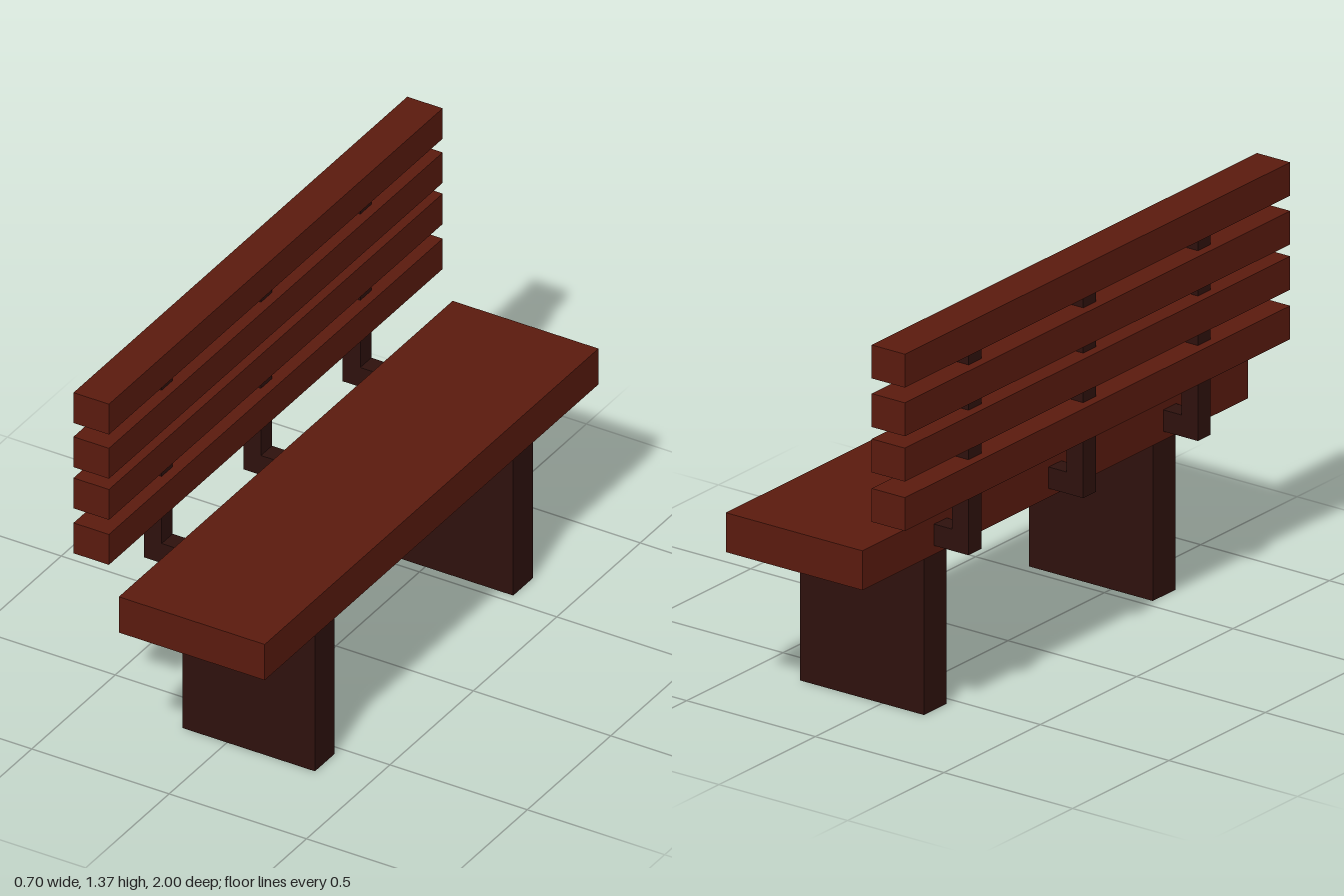
import * as THREE from 'three';

const wood = new THREE.MeshStandardMaterial({ color: 0x5a1a0e });
const darkWood = new THREE.MeshStandardMaterial({ color: 0x2e110d });

// Box given by its extents on each axis
function board(name, material, [x0, x1], [y0, y1], [z0, z1]) {
  const mesh = new THREE.Mesh(new THREE.BoxGeometry(x1 - x0, y1 - y0, z1 - z0), material);
  mesh.position.set((x0 + x1) / 2, (y0 + y1) / 2, (z0 + z1) / 2);
  mesh.name = name;
  return mesh;
}

export function createModel() {
  const bench = new THREE.Group();
  bench.name = 'bench';

  // Seat plank
  bench.add(board('seat', wood, [-0.183, 0.348], [0.535, 0.667], [-1, 1]));

  // Backrest slats, from bottom to top
  for (const y of [0.773, 0.939, 1.091, 1.254]) {
    bench.add(board('backSlat', wood, [-0.348, -0.219], [y, y + 0.112], [-1, 1]));
  }

  // Slab legs
  for (const z of [-0.594, 0.594]) {
    bench.add(board('leg', darkWood, [-0.162, 0.32], [0, 0.54], [z - 0.059, z + 0.059]));
  }

  // L-shaped brackets carrying the slats
  const profile = new THREE.Shape([
    [-0.317, 0.565], [-0.15, 0.565], [-0.15, 0.637],
    [-0.253, 0.637], [-0.253, 1.31], [-0.317, 1.31],
  ].map(([x, y]) => new THREE.Vector2(x, y)));
  const bracket = new THREE.ExtrudeGeometry(profile, { depth: 0.066, bevelEnabled: false });
  bracket.translate(0, 0, -0.033);
  for (const z of [-0.595, 0, 0.595]) {
    const mesh = new THREE.Mesh(bracket, darkWood);
    mesh.position.z = z;
    mesh.name = 'backBracket';
    bench.add(mesh);
  }

  return bench;
}
